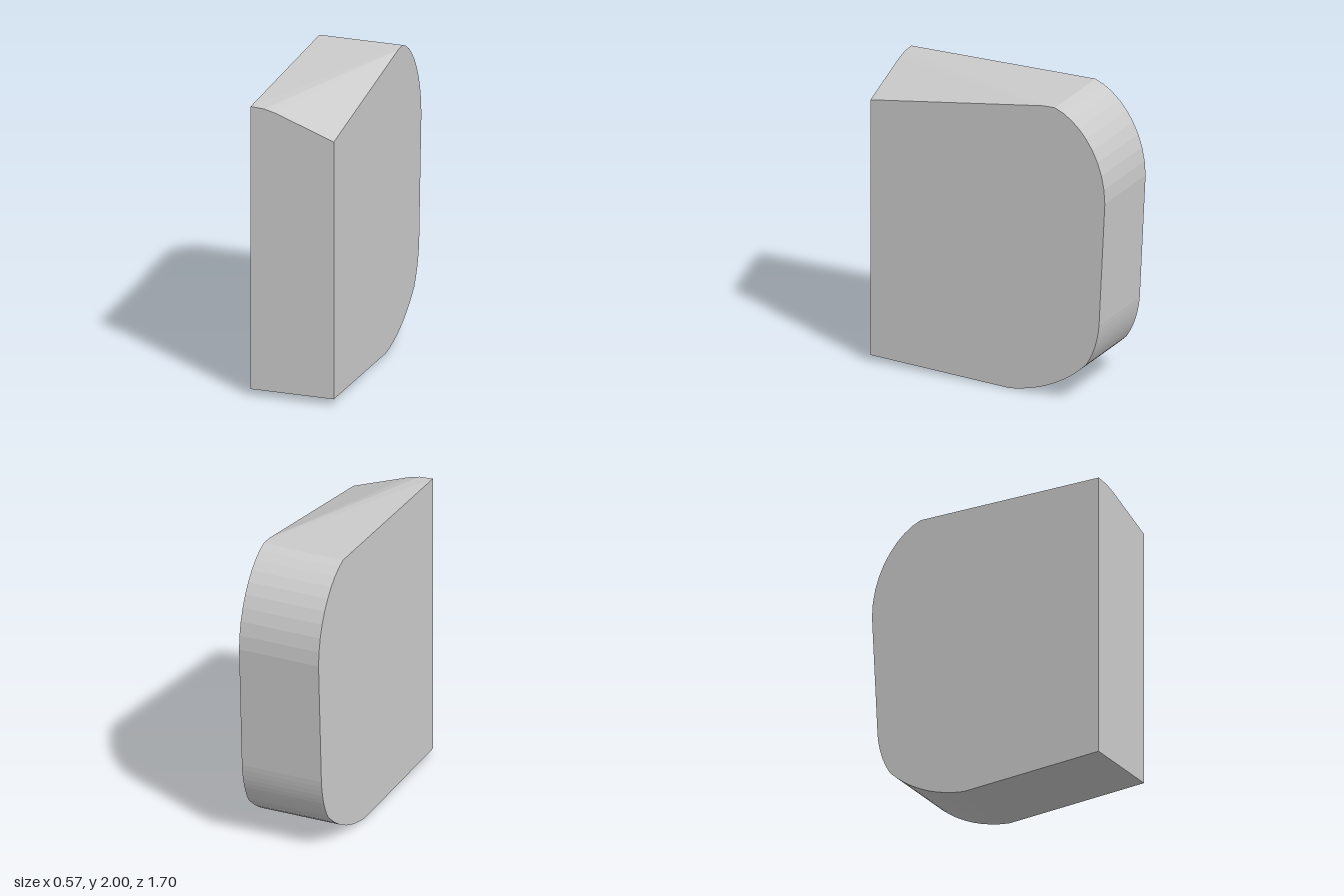
import * as THREE from 'three';
import { ConvexGeometry } from 'three/addons/geometries/ConvexGeometry.js';

const HALF_WIDTH = 0.283;

// Rounded back edge of the side outline, from top to bottom; x of the path is z of the model
function backEdge() {
  const path = new THREE.Path();
  path.moveTo(-0.485, 2);
  path.bezierCurveTo(-0.67, 1.94, -0.848, 1.7, -0.848, 1.4);
  path.lineTo(-0.806, 0.55);
  path.quadraticCurveTo(-0.79, 0.38, -0.71, 0.26);
  path.quadraticCurveTo(-0.49, 0.04, -0.16, 0);
  return path.getPoints(9);
}

export function createModel() {
  const group = new THREE.Group();
  group.name = 'block';
  const points = [];

  // Same back edge and lower front corner on both sides
  for (const x of [-HALF_WIDTH, HALF_WIDTH]) {
    for (const p of backEdge()) points.push(new THREE.Vector3(x, p.y, p.x));
    points.push(new THREE.Vector3(x, 0.043, 0.85));
  }

  // Point where the sloping facets of the top meet
  points.push(new THREE.Vector3(HALF_WIDTH, 1.998, -0.4));

  // Upper front edge, falling away towards the left side
  for (const [x, y] of [[-HALF_WIDTH, 1.982], [-0.19, 1.976], [-0.11, 1.955], [HALF_WIDTH, 1.808]]) {
    points.push(new THREE.Vector3(x, y, 0.85));
  }

  const body = new THREE.Mesh(
    new ConvexGeometry(points),
    new THREE.MeshStandardMaterial({ color: 0xcccccc, flatShading: true })
  );
  body.name = 'body';
  group.add(body);
  return group;
}
